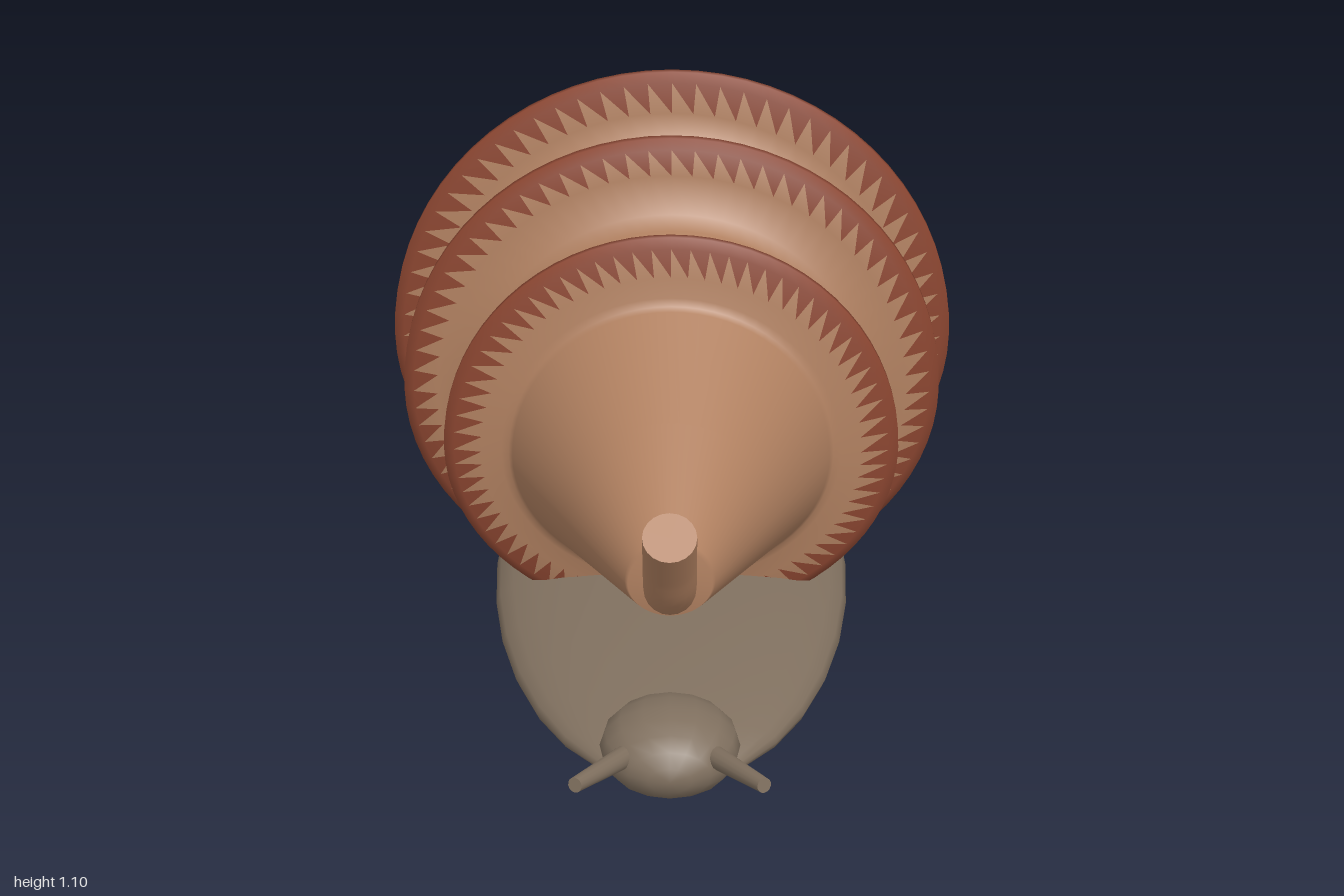
import * as THREE from 'three';

const material = (name, color, side = THREE.FrontSide) => {
  const m = new THREE.MeshStandardMaterial({ color, side });
  m.name = name;
  return m;
};

const AXIS_Y = 0.51;   // height of the shell axis
const SQUASH = 0.856;  // underside of the shell is flattened
const SEGMENTS = 72;

// Profile points of one rim: z, half thickness, root radii, start of red, outer radius
function rim(z, t, back, front, red, outer, bareBelow = 0) {
  return [
    [z - t, back], [z - t * 0.8, red, 1, bareBelow],
    [z - t * 0.45, outer - 0.02, 1, bareBelow], [z - t * 0.2, outer, 1, bareBelow],
    [z + t * 0.2, outer, 1, bareBelow], [z + t * 0.5, outer - 0.02, 1, bareBelow],
    [z + t * 0.8, red], [z + t, front],
  ];
}

// Lathed shell lying along z, split into tan whorls and red rims
function buildShell(tan, red) {
  const profile = [
    [-1, 0], [-0.96, 0.035], [-0.91, 0.08], [-0.86, 0.125], [-0.81, 0.175], [-0.76, 0.21],
    [-0.71, 0.245], [-0.68, 0.28], [-0.66, 0.32],
    ...rim(-0.615, 0.036, 0.35, 0.4, 0.39, 0.5),
    [-0.545, 0.41], [-0.538, 0.45], [-0.53, 0.457], [-0.48, 0.457],
    ...rim(-0.39, 0.038, 0.452, 0.45, 0.51, 0.592, 0.48),
    [-0.3, 0.443], [-0.23, 0.43],
    ...rim(-0.12, 0.042, 0.412, 0.4, 0.48, 0.55),
    [-0.03, 0.385], [0.05, 0.365],
    ...rim(0.15, 0.036, 0.348, 0.335, 0.375, 0.45),
    [0.192, 0.32], [0.2, 0.312], [0.45, 0.197], [0.7, 0.083], [0.712, 0.077], [0.713, 0],
  ];
  const geo = new THREE.LatheGeometry(profile.map(([z, r]) => new THREE.Vector2(r, z)), SEGMENTS);
  geo.rotateX(Math.PI / 2);

  // Flatten the lower half
  const pos = geo.attributes.position, nor = geo.attributes.normal;
  const n = new THREE.Vector3();
  for (let i = 0; i < pos.count; i++) {
    if (pos.getY(i) >= 0) continue;
    pos.setY(i, pos.getY(i) * SQUASH);
    n.fromBufferAttribute(nor, i);
    n.y /= SQUASH;
    n.normalize();
    nor.setXYZ(i, n.x, n.y, n.z);
  }

  // Sort faces by colour; the largest rim stays tan underneath
  const index = Array.from(geo.index.array), sorted = [[], []];
  for (let f = 0; f < index.length; f += 3) {
    const corner = Math.min(index[f], index[f + 1], index[f + 2]);
    const [, , isRed = 0, bare = 0] = profile[corner % profile.length];
    const phi = (Math.floor(corner / profile.length) + 0.5) / SEGMENTS * Math.PI * 2;
    const under = Math.min(phi, Math.PI * 2 - phi) < bare;
    sorted[isRed && !under ? 1 : 0].push(index[f], index[f + 1], index[f + 2]);
  }
  geo.setIndex([...sorted[0], ...sorted[1]]);
  geo.clearGroups();
  geo.addGroup(0, sorted[0].length, 0);
  geo.addGroup(sorted[0].length, sorted[1].length, 1);

  const shell = new THREE.Mesh(geo, [tan, red]);
  shell.name = 'shell';
  shell.position.y = AXIS_Y;
  return shell;
}

function ellipsoid(name, mat, rx, ry, rz, x, y, z, w, h) {
  const geo = new THREE.SphereGeometry(1, w, h);
  geo.rotateX(Math.PI / 2);
  geo.scale(rx, ry, rz);
  const mesh = new THREE.Mesh(geo, mat);
  mesh.name = name;
  mesh.position.set(x, y, z);
  return mesh;
}

// Tapered rod between two points
function rod(name, mat, a, b, ra, rb) {
  const dir = b.clone().sub(a);
  const mesh = new THREE.Mesh(new THREE.CylinderGeometry(rb, ra, dir.length(), 14), mat);
  mesh.name = name;
  mesh.position.copy(a).addScaledVector(dir, 0.5);
  mesh.quaternion.setFromUnitVectors(new THREE.Vector3(0, 1, 0), dir.normalize());
  return mesh;
}

export function createModel() {
  const tan = material('shell tan', 0xb08060);
  const red = material('rim red', 0x8a4530);
  const flesh = material('flesh grey brown', 0x80705f);
  const V = (x, y, z) => new THREE.Vector3(x, y, z);

  const model = new THREE.Group();
  model.name = 'seaSnail';
  model.add(buildShell(tan, red));

  // Upturned siphon at the narrow end, closed by a disc
  const path = new THREE.CatmullRomCurve3([
    V(0, 0.51, 0.7), V(0, 0.525, 0.755), V(0, 0.57, 0.815), V(0, 0.64, 0.865), V(0, 0.717, 0.92),
  ]);
  const siphon = new THREE.Mesh(new THREE.TubeGeometry(path, 16, 0.048, 20), tan);
  siphon.name = 'siphon';
  const end = new THREE.Mesh(new THREE.CircleGeometry(0.048, 20), tan);
  end.name = 'siphonEnd';
  end.position.copy(path.getPoint(1));
  end.quaternion.setFromUnitVectors(V(0, 0, 1), path.getTangent(1));
  model.add(siphon, end);

  // Foot and head
  model.add(ellipsoid('foot', flesh, 0.362, 0.093, 0.83, 0, 0.153, -0.01, 28, 16));
  model.add(ellipsoid('head', flesh, 0.13, 0.083, 0.13, 0, 0.203, 0.77, 16, 10));

  // Pair of tentacles
  for (const s of [1, -1]) {
    model.add(rod(s > 0 ? 'leftTentacle' : 'rightTentacle', flesh,
      V(s * 0.07, 0.218, 0.82), V(s * 0.168, 0.257, 0.99), 0.022, 0.014));
  }
  return model;
}
